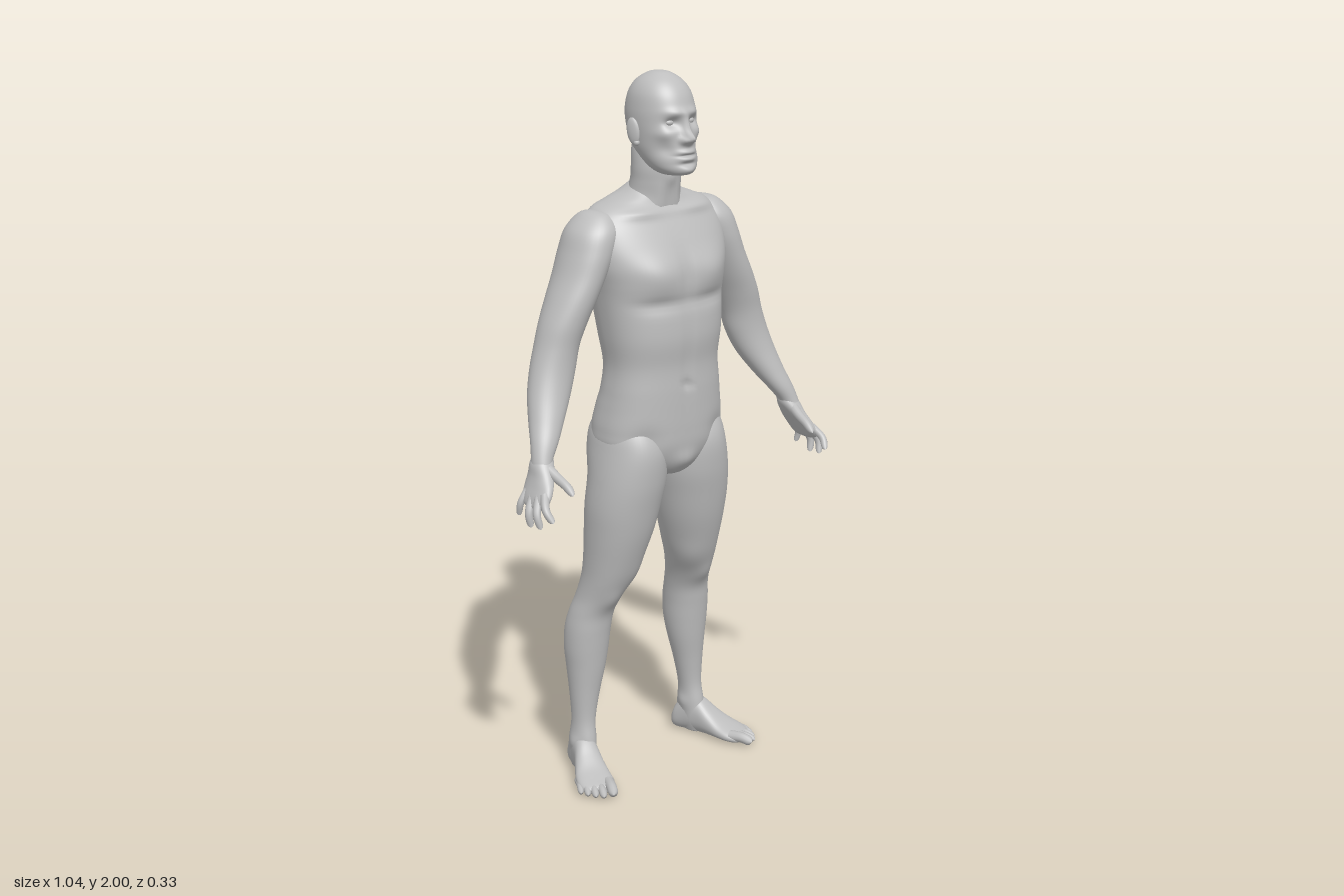
import * as THREE from 'three';

const skin = new THREE.MeshStandardMaterial({ color: 0xbebebe });
skin.name = 'plain grey';

// Smooth curve through one column of a table of sections
function spline(rows, col, u) {
  const last = rows.length - 1, i = Math.min(Math.floor(u), last - 1), t = u - i;
  const at = k => rows[Math.max(0, Math.min(last, k))][col];
  const a = at(i - 1), b = at(i), c = at(i + 1), d = at(i + 2);
  return b + 0.5 * t * (c - a + t * (2 * a - 5 * b + 4 * c - d + t * (3 * (b - c) + d - a)));
}

// Closed skin over level sections [y, xMin, xMax, zBack, zFront], listed from the top down.
// Each bump [centre xyz, spread xyz, push xyz] swells or dents the surface; off-centre ones mirror if asked.
function loft(rows, { power = 2, around = 40, steps = 6, bumps = [], mirror = false } = {}) {
  const pos = [], index = [], rings = (rows.length - 1) * steps;
  const shape = v => Math.sign(v) * Math.abs(v) ** (2 / power);
  for (let r = 0; r <= rings; r++) {
    const [y, x0, x1, z0, z1] = [0, 1, 2, 3, 4].map(c => spline(rows, c, r / steps));
    for (let i = 0; i < around; i++) {
      const a = i / around * Math.PI * 2;
      pos.push((x0 + x1) / 2 + shape(Math.cos(a)) * (x1 - x0) / 2, y,
        (z0 + z1) / 2 + shape(Math.sin(a)) * (z1 - z0) / 2);
      if (r === rings) continue;
      const p = r * around + i, q = r * around + (i + 1) % around;
      index.push(p, q, p + around, q, q + around, p + around);
    }
  }
  // End caps
  for (const r of [0, rings]) {
    const s = r ? rows[rows.length - 1] : rows[0], centre = pos.length / 3;
    pos.push((s[1] + s[2]) / 2, s[0], (s[3] + s[4]) / 2);
    for (let i = 0; i < around; i++) {
      const p = r * around + i, q = r * around + (i + 1) % around;
      index.push(...(r ? [centre, p, q] : [centre, q, p]));
    }
  }
  const all = bumps.flatMap(b => mirror && b[0] ? [b, b.map((v, k) => k % 6 === 0 ? -v : v)] : [b]);
  for (let k = 0; k < pos.length; k += 3) {
    const [x, y, z] = pos.slice(k, k + 3);
    for (const [bx, by, bz, sx, sy, sz, dx, dy, dz] of all) {
      const w = Math.exp(-(((x - bx) / sx) ** 2 + ((y - by) / sy) ** 2 + ((z - bz) / sz) ** 2));
      pos[k] += dx * w; pos[k + 1] += dy * w; pos[k + 2] += dz * w;
    }
  }
  const g = new THREE.BufferGeometry();
  g.setAttribute('position', new THREE.Float32BufferAttribute(pos, 3));
  g.setIndex(index);
  g.computeVertexNormals();
  return g;
}

// Sections given as [y, halfWidth, zBack, zFront]
const even = rows => rows.map(([y, w, b, f]) => [y, -w, w, b, f]);

// Tapered finger or toe with a rounded tip
function digit(points, radius, taper = 0.25) {
  const curve = new THREE.CatmullRomCurve3(points.map(p => new THREE.Vector3(...p)));
  const n = 20, m = 12, g = new THREE.TubeGeometry(curve, n, radius, m);
  const p = g.attributes.position, v = new THREE.Vector3();
  for (let i = 0; i <= n; i++) {
    const u = i / n, c = curve.getPointAt(u);
    const k = (1 - taper * u) * Math.sqrt(Math.max(0, 1 - Math.max(0, (u - 0.8) / 0.2) ** 2));
    for (let j = 0; j <= m; j++) {
      const id = i * (m + 1) + j;
      v.fromBufferAttribute(p, id).sub(c).multiplyScalar(k).add(c);
      p.setXYZ(id, v.x, v.y, v.z);
    }
  }
  return g;
}

export function createModel() {
  const model = new THREE.Group();
  model.name = 'standingFigure';
  const add = (name, geometry) => {
    const mesh = new THREE.Mesh(geometry, skin);
    mesh.name = name;
    model.add(mesh);
  };
  const addPair = (name, geometry) => {
    add('left' + name, geometry);
    const g = geometry.clone().scale(-1, 1, 1), ix = g.index;
    for (let i = 0; i < ix.count; i += 3) {
      const a = ix.getX(i);
      ix.setX(i, ix.getX(i + 1));
      ix.setX(i + 1, a);
    }
    add('right' + name, g);
  };

  // Torso with chest, shoulder blades, spine groove and buttocks
  add('torso', loft(even([
    [1.705, 0.055, -0.085, 0.01], [1.68, 0.09, -0.108, 0.02], [1.66, 0.14, -0.12, 0.028], [1.64, 0.185, -0.133, 0.04],
    [1.6, 0.215, -0.148, 0.066], [1.55, 0.222, -0.158, 0.093], [1.5, 0.215, -0.16, 0.113], [1.45, 0.202, -0.156, 0.121],
    [1.4, 0.193, -0.147, 0.122], [1.3, 0.181, -0.128, 0.128], [1.22, 0.171, -0.112, 0.12], [1.15, 0.178, -0.118, 0.121],
    [1.1, 0.186, -0.134, 0.121], [1.04, 0.195, -0.146, 0.12], [0.99, 0.19, -0.142, 0.116], [0.94, 0.13, -0.115, 0.1],
    [0.905, 0.06, -0.07, 0.075], [0.893, 0.02, -0.03, 0.035],
  ]), { power: 2.35, around: 80, steps: 7, mirror: true, bumps: [
    [0.09, 1.475, 0.11, 0.065, 0.05, 0.09, 0, 0, 0.014],
    [0.09, 1.395, 0.12, 0.08, 0.018, 0.06, 0, 0, -0.009],
    [0, 1.47, 0.12, 0.014, 0.07, 0.05, 0, 0, -0.006],
    [0.09, 1.63, 0.03, 0.07, 0.012, 0.05, 0, 0.004, 0.008],
    [0, 1.25, 0.12, 0.012, 0.13, 0.05, 0, 0, -0.004],
    [0, 1.165, 0.12, 0.01, 0.012, 0.05, 0, 0, -0.009],
    [0, 1.4, -0.15, 0.028, 0.25, 0.08, 0, 0, 0.022],
    [0.11, 1.55, -0.15, 0.06, 0.09, 0.07, 0, 0, -0.014],
    [0.085, 1.02, -0.14, 0.055, 0.06, 0.07, 0, 0, -0.013],
    [0, 0.99, -0.15, 0.018, 0.075, 0.08, 0, 0, 0.04],
    [0, 0.945, 0.1, 0.035, 0.03, 0.06, 0, 0, 0.012],
    [0.13, 1.01, 0.1, 0.04, 0.04, 0.06, 0, 0, -0.01],
  ] }));

  // Neck
  add('neck', loft(even([
    [1.86, 0.05, -0.06, 0.03], [1.8, 0.067, -0.078, 0.045], [1.75, 0.072, -0.077, 0.05], [1.71, 0.072, -0.082, 0.046],
    [1.67, 0.078, -0.1, 0.04], [1.63, 0.1, -0.12, 0.036], [1.58, 0.11, -0.12, 0.03],
  ]), { bumps: [[0, 1.72, 0.05, 0.015, 0.02, 0.03, 0, 0, 0.006], [0.03, 1.66, 0.04, 0.014, 0.05, 0.03, 0, 0, 0.006]], mirror: true }));

  // Head with brow, eye sockets, nose, lips and chin
  add('head', loft(even([
    [2, 0.004, -0.006, 0.004], [1.995, 0.028, -0.035, 0.03], [1.975, 0.058, -0.068, 0.064], [1.945, 0.077, -0.089, 0.088],
    [1.905, 0.085, -0.1, 0.102], [1.87, 0.086, -0.098, 0.107], [1.83, 0.083, -0.086, 0.111], [1.8, 0.079, -0.068, 0.114],
    [1.77, 0.07, -0.038, 0.117], [1.75, 0.058, -0.008, 0.117], [1.737, 0.04, 0.02, 0.108], [1.733, 0.015, 0.045, 0.085],
  ]), { power: 2.1, around: 112, steps: 10, mirror: true, bumps: [
    [0.034, 1.873, 0.1, 0.02, 0.013, 0.04, 0, 0, -0.016],
    [0.03, 1.9, 0.1, 0.03, 0.011, 0.04, 0, 0, 0.006],
    [0, 1.862, 0.11, 0.01, 0.03, 0.05, 0, 0, 0.014],
    [0, 1.834, 0.11, 0.013, 0.016, 0.05, 0, 0, 0.026],
    [0.015, 1.828, 0.11, 0.009, 0.009, 0.04, 0, 0, 0.012],
    [0, 1.797, 0.115, 0.026, 0.007, 0.04, 0, 0, 0.008],
    [0, 1.788, 0.115, 0.028, 0.003, 0.04, 0, 0, -0.006],
    [0, 1.779, 0.115, 0.022, 0.007, 0.04, 0, 0, 0.008],
    [0, 1.766, 0.115, 0.025, 0.006, 0.04, 0, 0, -0.005],
    [0, 1.748, 0.115, 0.022, 0.012, 0.04, 0, 0, 0.008],
    [0.055, 1.845, 0.08, 0.02, 0.015, 0.04, 0.003, 0, 0.005],
    [0.055, 1.805, 0.08, 0.02, 0.02, 0.04, -0.005, 0, -0.004],
  ] }));

  // Eyes and ears
  addPair('Eye', new THREE.SphereGeometry(0.012, 20, 14).scale(1.15, 0.75, 0.8).translate(0.034, 1.874, 0.08));
  addPair('Ear', new THREE.SphereGeometry(1, 20, 16).scale(0.008, 0.036, 0.019)
    .rotateX(-0.15).rotateY(-0.35).translate(0.091, 1.848, 0));
  addPair('EarLobe', new THREE.SphereGeometry(0.009, 12, 10).translate(0.086, 1.818, 0.008));

  // Arms
  addPair('Arm', loft([
    [1.643, 0.185, 0.2, -0.06, -0.03], [1.633, 0.15, 0.228, -0.095, 0.005], [1.595, 0.13, 0.267, -0.122, 0.036],
    [1.54, 0.15, 0.289, -0.128, 0.045], [1.48, 0.18, 0.312, -0.122, 0.044], [1.42, 0.21, 0.342, -0.112, 0.04],
    [1.36, 0.24, 0.37, -0.102, 0.032], [1.3, 0.264, 0.39, -0.094, 0.024], [1.24, 0.28, 0.411, -0.085, 0.025],
    [1.18, 0.306, 0.43, -0.068, 0.035], [1.12, 0.345, 0.446, -0.038, 0.052], [1.07, 0.382, 0.461, -0.004, 0.068],
    [1.03, 0.412, 0.471, 0.017, 0.077], [1, 0.425, 0.476, 0.02, 0.085],
  ]));

  // Hands
  addPair('Palm', loft([
    [1.05, 0.415, 0.455, 0.02, 0.06], [1.02, 0.414, 0.473, 0.016, 0.08], [0.99, 0.428, 0.48, 0.014, 0.1],
    [0.965, 0.444, 0.489, 0.014, 0.118], [0.94, 0.46, 0.5, 0.02, 0.127], [0.92, 0.474, 0.505, 0.03, 0.12],
    [0.912, 0.484, 0.5, 0.045, 0.105],
  ], { power: 2.3 }));
  addPair('Thumb', digit([[0.444, 1.012, 0.06], [0.436, 0.988, 0.105], [0.432, 0.972, 0.14], [0.43, 0.952, 0.166]], 0.016, 0.35));
  [
    ['IndexFinger', [0.48, 0.95, 0.108], [0.498, 0.918, 0.137], [0.49, 0.888, 0.158]],
    ['MiddleFinger', [0.484, 0.945, 0.088], [0.508, 0.902, 0.11], [0.503, 0.864, 0.12]],
    ['RingFinger', [0.484, 0.945, 0.064], [0.509, 0.9, 0.076], [0.505, 0.86, 0.08]],
    ['LittleFinger', [0.482, 0.95, 0.036], [0.503, 0.915, 0.032], [0.502, 0.878, 0.022]],
  ].forEach(([name, ...points], i) => addPair(name, digit(points, i === 3 ? 0.0105 : 0.0125)));

  // Legs with kneecaps and shins
  addPair('Leg', loft([
    [1.1, 0.07, 0.15, -0.09, 0.05], [1.04, 0.03, 0.188, -0.13, 0.09], [0.98, 0.01, 0.203, -0.14, 0.11],
    [0.9, 0.008, 0.217, -0.12, 0.107], [0.82, 0.02, 0.226, -0.119, 0.093], [0.74, 0.036, 0.225, -0.12, 0.075],
    [0.66, 0.06, 0.222, -0.12, 0.05], [0.6, 0.082, 0.222, -0.124, 0.027], [0.54, 0.102, 0.228, -0.138, -0.005],
    [0.49, 0.112, 0.24, -0.153, -0.028], [0.44, 0.117, 0.248, -0.164, -0.036], [0.38, 0.122, 0.249, -0.166, -0.043],
    [0.32, 0.132, 0.244, -0.159, -0.05], [0.24, 0.152, 0.238, -0.146, -0.06], [0.16, 0.168, 0.234, -0.138, -0.065],
    [0.1, 0.172, 0.238, -0.146, -0.056], [0.04, 0.176, 0.236, -0.155, -0.05], [0.005, 0.186, 0.226, -0.145, -0.06],
  ], { power: 2.1, around: 48, bumps: [
    [0.17, 0.54, 0, 0.03, 0.035, 0.04, 0, 0, 0.008],
    [0.105, 0.62, 0, 0.04, 0.05, 0.05, -0.004, 0, 0.005],
    [0.15, 0.42, -0.16, 0.03, 0.07, 0.05, 0, 0, -0.005],
    [0.17, 0.1, -0.1, 0.03, 0.02, 0.025, -0.006, 0, 0],
    [0.24, 0.09, -0.1, 0.03, 0.02, 0.025, 0.006, 0, 0],
  ] }));

  // Feet, lofted from toes to heel, then laid down and turned outward
  const place = g => g.rotateY(0.35).translate(0.205, 0, -0.105);
  addPair('Foot', place(loft([
    [0.188, -0.025, 0.02, -0.022, -0.008], [0.178, -0.04, 0.042, -0.029, -0.002], [0.15, -0.048, 0.057, -0.038, 0],
    [0.115, -0.046, 0.056, -0.052, 0], [0.08, -0.041, 0.047, -0.076, 0], [0.04, -0.036, 0.037, -0.108, 0],
    [0, -0.034, 0.034, -0.12, 0], [-0.035, -0.031, 0.033, -0.085, 0], [-0.05, -0.022, 0.024, -0.055, -0.006],
    [-0.056, -0.008, 0.01, -0.038, -0.02],
  ], { power: 2.3 }).rotateX(Math.PI / 2)));
  [[-0.028, -0.022, 0.224, 0.0165], [-0.001, 0.005, 0.22, 0.012], [0.018, 0.025, 0.208, 0.0115],
    [0.034, 0.043, 0.192, 0.011], [0.046, 0.058, 0.173, 0.0105]].forEach(([x0, x1, tip, r], i) =>
    addPair('Toe' + (i + 1), place(digit([[x0, r + 0.006, tip - 0.07], [(x0 + x1) / 2, r + 0.007, tip - 0.03], [x1, r * 0.85, tip]], r, 0.15))));

  return model;
}
